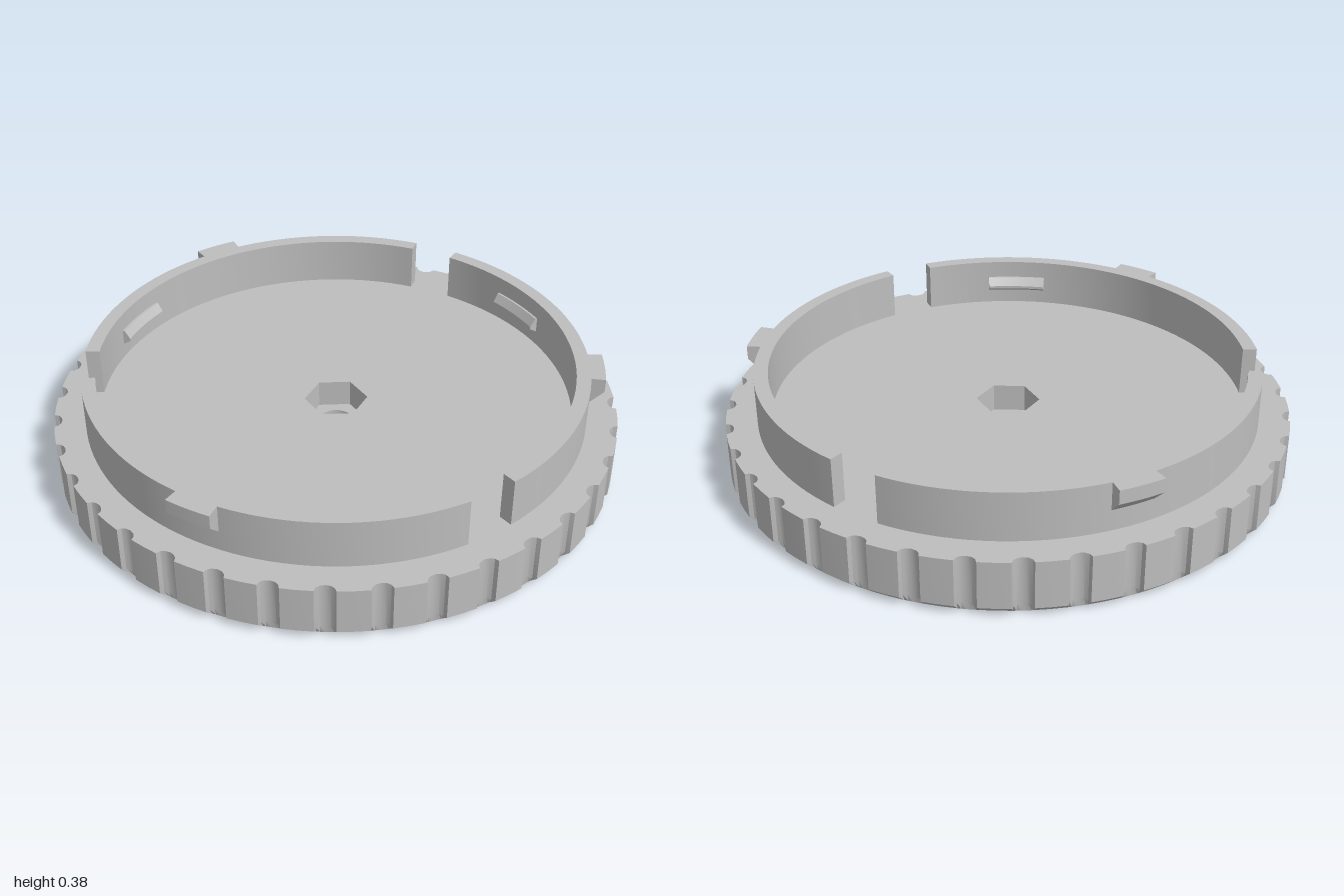
import * as THREE from 'three';
import { toCreasedNormals } from 'three/addons/utils/BufferGeometryUtils.js';

const RAD = Math.PI / 180;
const BODY_TOP = 0.2, CHAMFER = 0.03, FOOT_R = 0.97, RING_TOP = 0.375;

export function createModel() {
  const model = new THREE.Group();
  const grey = new THREE.MeshStandardMaterial({ color: 0xbebebe, side: THREE.DoubleSide });
  grey.name = 'grey plastic';

  function add(name, geometry, crease = 0.5) {
    const mesh = new THREE.Mesh(toCreasedNormals(geometry, crease), grey);
    mesh.name = name;
    model.add(mesh);
  }

  // Regular polygon in the x-z plane, first corner towards +z (or turned)
  function polygon(x, z, r, n, turn = 0) {
    const pts = [];
    for (let i = 0; i < n; i++) {
      const t = (i / n) * Math.PI * 2 + turn;
      pts.push(new THREE.Vector2(x + r * Math.sin(t), z + r * Math.cos(t)));
    }
    return pts;
  }

  // Flat face with holes, facing up or down
  function face(name, outline, holes, y, up) {
    const flip = (pts) => pts.map((p) => new THREE.Vector2(p.x, up ? -p.y : p.y));
    const shape = new THREE.Shape(flip(outline));
    for (const hole of holes) shape.holes.push(new THREE.Path(flip(hole)));
    const geo = new THREE.ShapeGeometry(shape);
    geo.rotateX(up ? -Math.PI / 2 : Math.PI / 2).translate(0, y, 0);
    add(name, geo);
  }

  // Wall between matching closed loops stacked in y
  function wall(name, loops, heights) {
    const n = loops[0].length, pos = [], idx = [];
    loops.forEach((loop, k) => loop.forEach((p) => pos.push(p.x, heights[k], p.y)));
    for (let k = 0; k + 1 < loops.length; k++) {
      for (let i = 0; i < n; i++) {
        const a = k * n + i, b = k * n + ((i + 1) % n);
        idx.push(a, a + n, b + n, a, b + n, b);
      }
    }
    const geo = new THREE.BufferGeometry();
    geo.setAttribute('position', new THREE.Float32BufferAttribute(pos, 3));
    geo.setIndex(idx);
    add(name, geo);
  }

  // Solid swept around the y axis from a counterclockwise (radius, y) profile
  function sweep(name, profile, startDeg, endDeg, steps) {
    const n = profile.length, pos = [], idx = [];
    for (let s = 0; s <= steps; s++) {
      const a = (startDeg + ((endDeg - startDeg) * s) / steps) * RAD;
      for (const [r, y] of profile) pos.push(r * Math.cos(a), y, r * Math.sin(a));
    }
    for (let s = 0; s < steps; s++) {
      for (let i = 0; i < n; i++) {
        const p = s * n + i, q = s * n + ((i + 1) % n);
        idx.push(p, q, q + n, p, q + n, p + n);
      }
    }
    const last = steps * n;
    for (let i = 1; i + 1 < n; i++) idx.push(0, i + 1, i, last, last + i, last + i + 1);
    const geo = new THREE.BufferGeometry();
    geo.setAttribute('position', new THREE.Float32BufferAttribute(pos, 3));
    geo.setIndex(idx);
    add(name, geo);
  }

  // Scalloped grip rim: 36 rounded notches
  const rim = [], foot = [];
  for (let k = 0; k < 36; k++) {
    for (const o of [-2, -1.7, -1, 0, 1, 1.7, 2, 5]) {
      const a = (5 + 10 * k + o) * RAD;
      const r = Math.abs(o) < 2 ? 1 - 0.028 * Math.sqrt(1 - (o / 2) ** 2) : 1;
      rim.push(new THREE.Vector2(r * Math.cos(a), r * Math.sin(a)));
      foot.push(new THREE.Vector2(FOOT_R * Math.cos(a), FOOT_R * Math.sin(a)));
    }
  }
  wall('gripRim', [foot, rim, rim], [0, CHAMFER, BODY_TOP]);

  // Central bore with a hexagonal nut pocket
  const bore = polygon(0, 0, 0.062, 32);
  const hex = polygon(0, 0, 0.113, 6, Math.PI / 6);
  face('topFace', rim, [hex], BODY_TOP, true);
  face('nutPocketFloor', hex, [bore], 0.1, true);
  wall('nutPocketWall', [hex, hex], [BODY_TOP, 0.1]);
  wall('boreWall', [bore, bore], [0.1, 0]);

  // Blind holes in the underside, at varying radii, and a triangular index mark
  const holeRadii = [0.555, 0.73, 0.46, 0.46, 0.73, 0.555, 0.65, 0.65];
  const pockets = holeRadii.map((r, i) => {
    const a = (22.5 + 45 * i) * RAD;
    return { name: 'blindHole', loop: polygon(r * Math.cos(a), r * Math.sin(a), 0.07, 32), depth: 0.1 };
  });
  pockets.push({ name: 'indexMark', loop: polygon(0, 0.898, 0.047, 3), depth: 0.05 });
  for (const { name, loop, depth } of pockets) {
    wall(name + 'Wall', [loop, loop], [depth, 0]);
    face(name + 'End', loop, [], depth, false);
  }
  face('bottomFace', foot, [bore, ...pockets.map((p) => p.loop)], 0, false);

  // Raised collar in three arcs, with inner ridges and outer locking lugs
  const collar = [[0.84, 0.195], [0.89, 0.195], [0.89, RING_TOP], [0.84, RING_TOP]];
  const ridge = [[0.845, 0.25], [0.845, 0.31], [0.832, 0.31], [0.812, 0.28], [0.812, 0.27]].reverse();
  const lug = [[0.88, 0.275], [0.89, 0.275], [0.94, 0.325], [0.94, RING_TOP], [0.88, RING_TOP]];
  for (const mid of [0, 120, 240]) {
    sweep('collarArc', collar, mid - 54.5, mid + 54.5, 40);
  }
  for (const mid of [90, 210, 330]) sweep('innerRidge', ridge, mid - 7.8, mid + 7.8, 8);
  for (const start of [2, 117, 237.2]) sweep('lockingLug', lug, start, start + 9.8, 5);

  return model;
}
